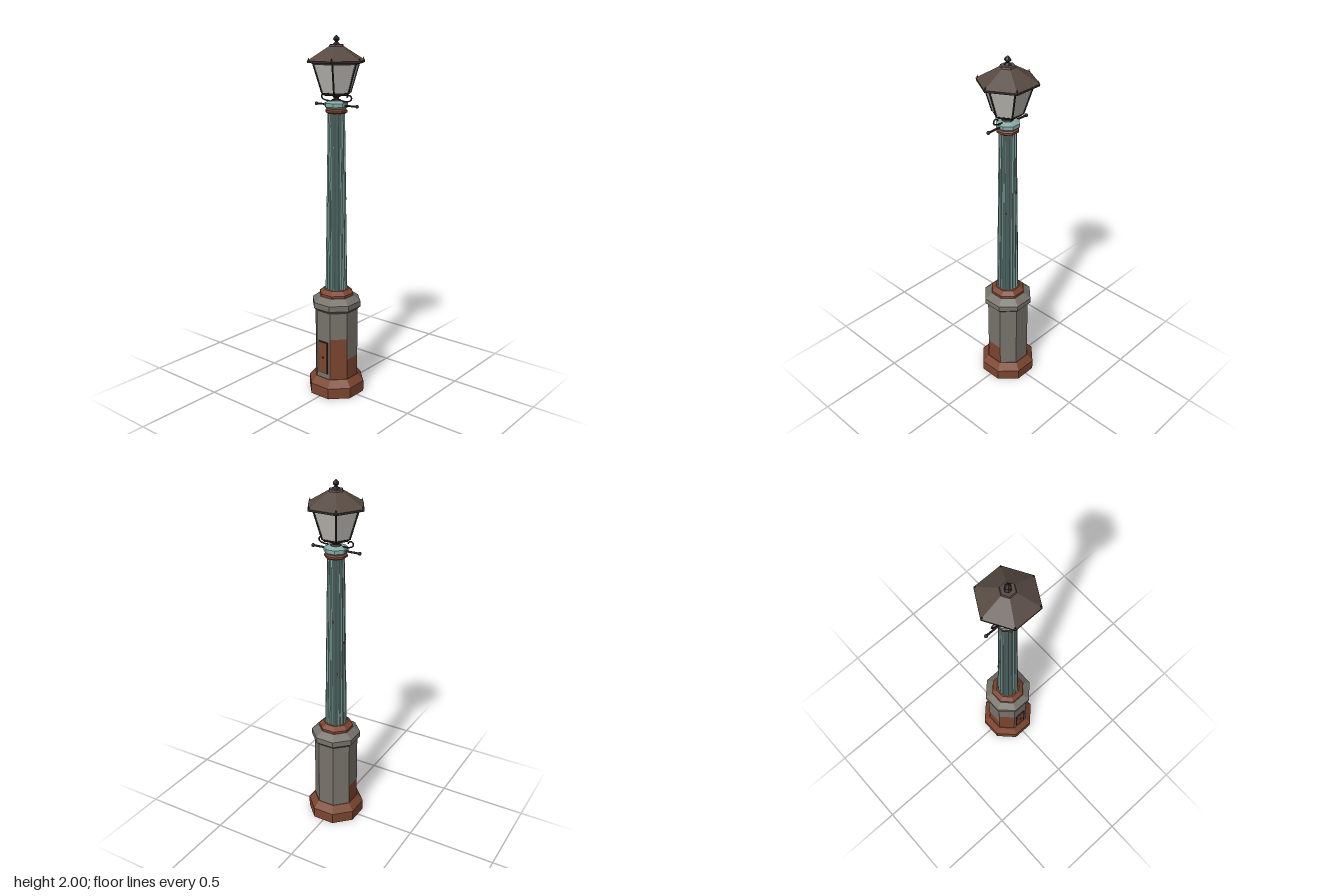
import * as THREE from 'three';

const mat = (name, color) => {
  const m = new THREE.MeshStandardMaterial({ color });
  m.name = name;
  return m;
};

export function createModel() {
  const rust = mat('rust', 0x7c452f);
  const stone = mat('stone grey', 0x77726b);
  const verdigris = mat('verdigris', 0x86aaa5);
  const roofBrown = mat('roof brown', 0x574a43);
  const iron = mat('dark iron', 0x2f2927);
  const glass = mat('frosted glass', 0xc4c1bb);

  const model = new THREE.Group();
  model.name = 'streetLamp';

  const add = (name, geo, material, x = 0, y = 0, z = 0, parent = model) => {
    const mesh = new THREE.Mesh(geo, material);
    mesh.name = name;
    mesh.position.set(x, y, z);
    parent.add(mesh);
    return mesh;
  };
  const flat = (geo) => {
    const g = geo.index ? geo.toNonIndexed() : geo;
    g.computeVertexNormals();
    return g;
  };
  // Faceted prism or frustum; radii are to the corners
  const prism = (name, sides, rBottom, rTop, y0, y1, material, open = false) => add(name,
    flat(new THREE.CylinderGeometry(rTop, rBottom, y1 - y0, sides, 1, open, Math.PI / sides)),
    material, 0, (y0 + y1) / 2, 0);
  // Octagon sized by the distance to its flat sides
  const C8 = Math.cos(Math.PI / 8);
  const oct = (name, aBottom, aTop, y0, y1, material) =>
    prism(name, 8, aBottom / C8, aTop / C8, y0, y1, material);
  // Thin rod between two points
  const rod = (name, a, b, r, material) => {
    const dir = b.clone().sub(a);
    const mesh = add(name, flat(new THREE.CylinderGeometry(r, r, dir.length(), 6)), material);
    mesh.position.copy(a).add(b).multiplyScalar(0.5);
    mesh.quaternion.setFromUnitVectors(new THREE.Vector3(0, 1, 0), dir.normalize());
    return mesh;
  };

  // Foot
  oct('footBlock', 0.15, 0.15, 0, 0.062, rust);
  oct('footSlope', 0.15, 0.118, 0.062, 0.102, rust);

  // Pedestal walls, rusted to a different height on each face
  const rustTop = [0, 0.345, 0.22, 0, 0, 0, 0.22, 0.345];
  rustTop.forEach((h, k) => {
    const wall = (name, y0, y1, material) => add(name,
      flat(new THREE.CylinderGeometry(0.115 / C8, 0.115 / C8, y1 - y0, 1, 1, true,
        (k - 0.5) * Math.PI / 4, Math.PI / 4)), material, 0, (y0 + y1) / 2, 0);
    if (h) wall('rustedWall', 0.1, h, rust);
    wall('pedestalWall', h || 0.1, 0.505, stone);
  });

  // Service door with frame and lock
  add('doorFrame', new THREE.BoxGeometry(0.068, 0.192, 0.006), iron, 0, 0.228, 0.1165);
  add('door', new THREE.BoxGeometry(0.058, 0.182, 0.006), rust, 0, 0.228, 0.119);
  const lock = add('doorLock', new THREE.CylinderGeometry(0.006, 0.006, 0.006, 8), iron, 0, 0.228, 0.122);
  lock.rotation.x = Math.PI / 2;

  // Pedestal cornice and column seat
  oct('corniceUnder', 0.115, 0.13, 0.5, 0.516, stone);
  oct('corniceBand', 0.13, 0.13, 0.516, 0.548, stone);
  oct('corniceSlope', 0.13, 0.092, 0.548, 0.578, stone);
  oct('seatBand', 0.09, 0.09, 0.572, 0.592, rust);
  oct('seatSlope', 0.09, 0.066, 0.592, 0.613, rust);

  // Fluted tapering column: every other pair of points is drawn inward
  const flutes = 16;
  const shaft = new THREE.CylinderGeometry(0.046, 0.061, 1, flutes * 4, 1, true);
  const p = shaft.attributes.position;
  for (let i = 0; i < p.count; i++) {
    const step = i % (flutes * 4 + 1) % 4;
    const k = step < 2 ? 1 : 0.9;
    p.setXYZ(i, p.getX(i) * k, p.getY(i), p.getZ(i) * k);
  }
  add('flutedColumn', flat(shaft), verdigris, 0, 1.11, 0);

  // Small rust specks on the column
  [[-0.008, 1.25, -0.051], [0.042, 1.13, -0.03], [-0.051, 1.12, -0.006], [-0.035, 0.94, -0.041]]
    .forEach(([x, y, z]) => {
      const speck = add('rustSpeck', new THREE.BoxGeometry(0.007, 0.013, 0.007), rust, x, y, z);
      speck.rotation.y = Math.atan2(x, z);
    });

  // Column head
  oct('neckUnder', 0.045, 0.057, 1.594, 1.602, rust);
  oct('neckBand', 0.057, 0.057, 1.602, 1.613, rust);
  oct('neckSlope', 0.057, 0.047, 1.613, 1.622, rust);
  oct('headUnder', 0.047, 0.06, 1.618, 1.63, verdigris);
  oct('headBand', 0.06, 0.06, 1.63, 1.65, verdigris);
  oct('headSlope', 0.06, 0.038, 1.65, 1.661, verdigris);

  // Ladder bar with end knobs
  const V = (x, y, z) => new THREE.Vector3(x, y, z);
  rod('ladderBar', V(-0.14, 1.638, 0), V(0.14, 1.638, 0), 0.0055, iron);

  // Stem below the lantern
  prism('stemFoot', 8, 0.032, 0.024, 1.659, 1.668, iron);
  prism('stem', 8, 0.015, 0.015, 1.665, 1.692, iron);
  prism('stemHead', 8, 0.018, 0.034, 1.68, 1.692, iron);

  // Knob and scroll bracket on each side
  for (const s of [-1, 1]) {
    add('barKnob', new THREE.SphereGeometry(0.01, 8, 6), iron, s * 0.138, 1.638, 0);
    const scroll = new THREE.CatmullRomCurve3([
      V(s * 0.04, 1.658, 0), V(s * 0.075, 1.66, 0), V(s * 0.097, 1.668, 0), V(s * 0.102, 1.681, 0),
      V(s * 0.092, 1.692, 0), V(s * 0.076, 1.69, 0), V(s * 0.071, 1.68, 0)]);
    add('scrollBracket', new THREE.TubeGeometry(scroll, 20, 0.004, 6), iron);
  }

  // Lantern body
  const rLow = 0.08, rHigh = 0.131, yLow = 1.702, yHigh = 1.862;
  prism('lanternFloor', 6, 0.07, 0.084, 1.69, 1.705, iron);
  prism('lanternGlass', 6, rLow, rHigh, yLow, yHigh, glass, true);
  prism('lanternTopRim', 6, 0.131, 0.134, 1.85, 1.862, iron);

  // Roof
  prism('eave', 6, 0.162, 0.162, 1.859, 1.87, iron);
  prism('roof', 6, 0.162, 0.04, 1.87, 1.943, roofBrown);
  prism('roofCap', 6, 0.042, 0.038, 1.941, 1.952, roofBrown);

  // Corner bars and eave studs
  for (let i = 0; i < 6; i++) {
    const c = Math.cos(i * Math.PI / 3), s = Math.sin(i * Math.PI / 3);
    rod('cornerBar', V(c * rLow, yLow, s * rLow), V(c * rHigh, yHigh, s * rHigh), 0.005, iron);
    add('eaveStud', new THREE.ConeGeometry(0.005, 0.016, 6), iron, c * 0.154, 1.88, s * 0.154);
  }

  // Finial
  const finial = [[0.02, 0], [0.016, 0.008], [0.009, 0.014], [0.009, 0.018],
    [0.018, 0.026], [0.017, 0.034], [0.009, 0.043], [0, 0.05]]
    .map(([r, y]) => new THREE.Vector2(r, y));
  add('finial', flat(new THREE.LatheGeometry(finial, 6, Math.PI / 6)), iron, 0, 1.95, 0);

  return model;
}
